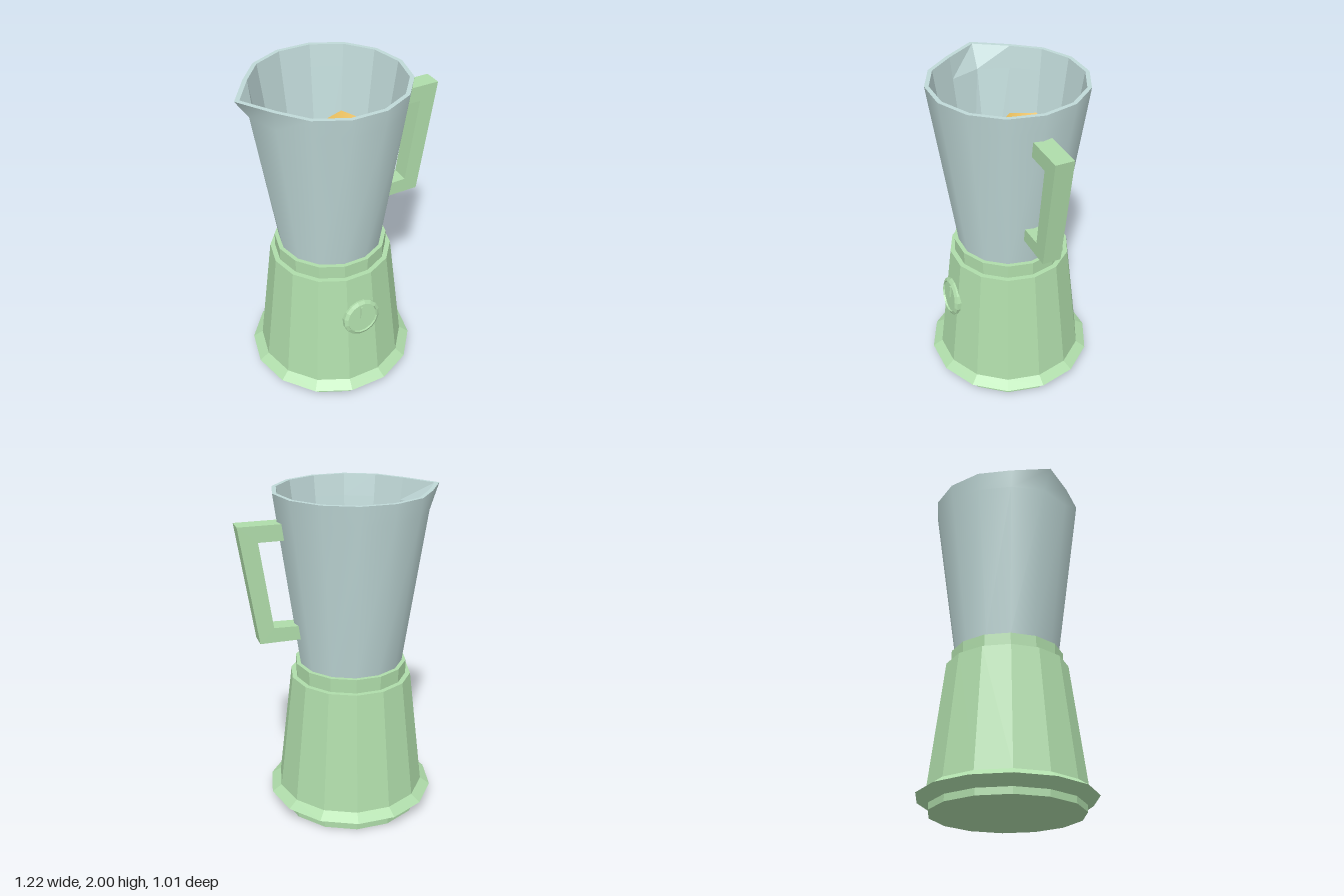
import * as THREE from 'three';

const SIDES = 14;
const AXIS_X = -0.066; // the body sits off centre because of the handle

// Faceted normals
function flat(geometry) {
  const g = geometry.index ? geometry.toNonIndexed() : geometry;
  g.computeVertexNormals();
  return g;
}

// Skin closed rings of points; rings running upwards face outwards
function loft(rings) {
  const n = rings[0].length;
  const index = [];
  for (let r = 0; r < rings.length - 1; r++) {
    for (let i = 0; i < n; i++) {
      const j = (i + 1) % n;
      const a = r * n + i, b = r * n + j, c = a + n, d = b + n;
      index.push(a, b, d, a, d, c);
    }
  }
  const g = new THREE.BufferGeometry();
  g.setAttribute('position', new THREE.Float32BufferAttribute(rings.flat(2), 3));
  g.setIndex(index);
  g.computeVertexNormals();
  return g;
}

// Ring of the jug; the corner on -x is pulled out to form the spout
function jugRing(y, radius, spout = 0) {
  return Array.from({ length: SIDES }, (_, i) => {
    const t = (i + 0.5) * 2 * Math.PI / SIDES;
    const r = radius + (i === 10 ? spout : 0);
    return [r * Math.sin(t), y, r * Math.cos(t)];
  });
}

export function createModel() {
  const green = new THREE.MeshStandardMaterial({ color: 0xafdcaa });
  green.name = 'soft green';
  const glass = new THREE.MeshStandardMaterial({ color: 0xc0d9d8 });
  glass.name = 'pale blue grey';
  const yellow = new THREE.MeshStandardMaterial({ color: 0xdfb657 });
  yellow.name = 'juice yellow';

  const model = new THREE.Group();
  model.name = 'blender';
  const body = new THREE.Group();
  body.name = 'body';
  body.position.x = AXIS_X;
  model.add(body);

  const add = (parent, name, geometry, material) => {
    const mesh = new THREE.Mesh(geometry, material);
    mesh.name = name;
    parent.add(mesh);
    return mesh;
  };

  // Motor base with flared foot and collar
  const profile = [
    [0, 0], [0.447, 0], [0.447, 0.04], [0.52, 0.09], [0.46, 0.13],
    [0.37, 0.875], [0.34, 0.875], [0.34, 0.96], [0, 0.96],
  ].map(([r, y]) => new THREE.Vector2(r, y));
  add(body, 'motorBase', flat(new THREE.LatheGeometry(profile, SIDES, Math.PI / SIDES)), green);

  // Jug: smooth outside, faceted rim and inside
  const top = jugRing(2, 0.46, 0.084);
  const innerTop = jugRing(2, 0.435, 0.079);
  add(body, 'jugOutside', loft([jugRing(0.96, 0.315), jugRing(1.89, 0.445, 0.024), top]), glass);
  add(body, 'jugRim', flat(loft([top, innerTop])), glass);
  add(body, 'jugInside', flat(loft([
    innerTop, jugRing(1.87, 0.417, 0.024), jugRing(0.97, 0.292), jugRing(0.97, 0),
  ])), glass);

  // Slightly uneven juice surface, resting against the inner wall
  const radii = [0.368, 0.368, 0.35, 0.356, 0.374, 0.378, 0.365,
    0.361, 0.38, 0.377, 0.354, 0.359, 0.365, 0.357];
  const edge = radii.map((r, i) => {
    const t = (i + 0.5) * 2 * Math.PI / SIDES;
    return [r * Math.sin(t), 1.43 + (r - 0.355) / 0.139, r * Math.cos(t)];
  });
  add(body, 'juice', loft([edge, jugRing(1.48, 0.18), jugRing(1.48, 0)]), yellow);

  // Angular handle
  const outline = [
    [0.35, 1.84], [0.61, 1.84], [0.505, 1.14], [0.257, 1.14],
    [0.268, 1.225], [0.42, 1.23], [0.495, 1.745], [0.34, 1.745],
  ].map(([x, y]) => new THREE.Vector2(x, y));
  const handle = new THREE.ExtrudeGeometry(new THREE.Shape(outline), { depth: 0.11, bevelEnabled: false });
  handle.translate(0, 0, -0.055);
  add(model, 'handle', handle, green);

  // Control dial, leaning back with the front facet
  const dial = new THREE.Group();
  dial.name = 'dial';
  dial.position.set(0, 0.585, 0.395);
  dial.rotation.x = -0.117;
  body.add(dial);
  const dialProfile = [
    [0, -0.015], [0.12, -0.015], [0.12, 0.012], [0.1, 0.024], [0.097, 0.013], [0, 0.013],
  ].map(([r, y]) => new THREE.Vector2(r, y));
  const knob = flat(new THREE.LatheGeometry(dialProfile, 16, Math.PI / 16));
  knob.rotateX(Math.PI / 2);
  add(dial, 'dialKnob', knob, green);

  // Tapered pointer on the dial
  const pointer = new THREE.Shape([
    [-0.012, 0], [0.012, 0], [0.006, 0.075], [-0.006, 0.075],
  ].map(([x, y]) => new THREE.Vector2(x, y)));
  const pointerGeometry = new THREE.ExtrudeGeometry(pointer, { depth: 0.012, bevelEnabled: false });
  add(dial, 'dialPointer', pointerGeometry, green).position.z = 0.012;

  return model;
}
